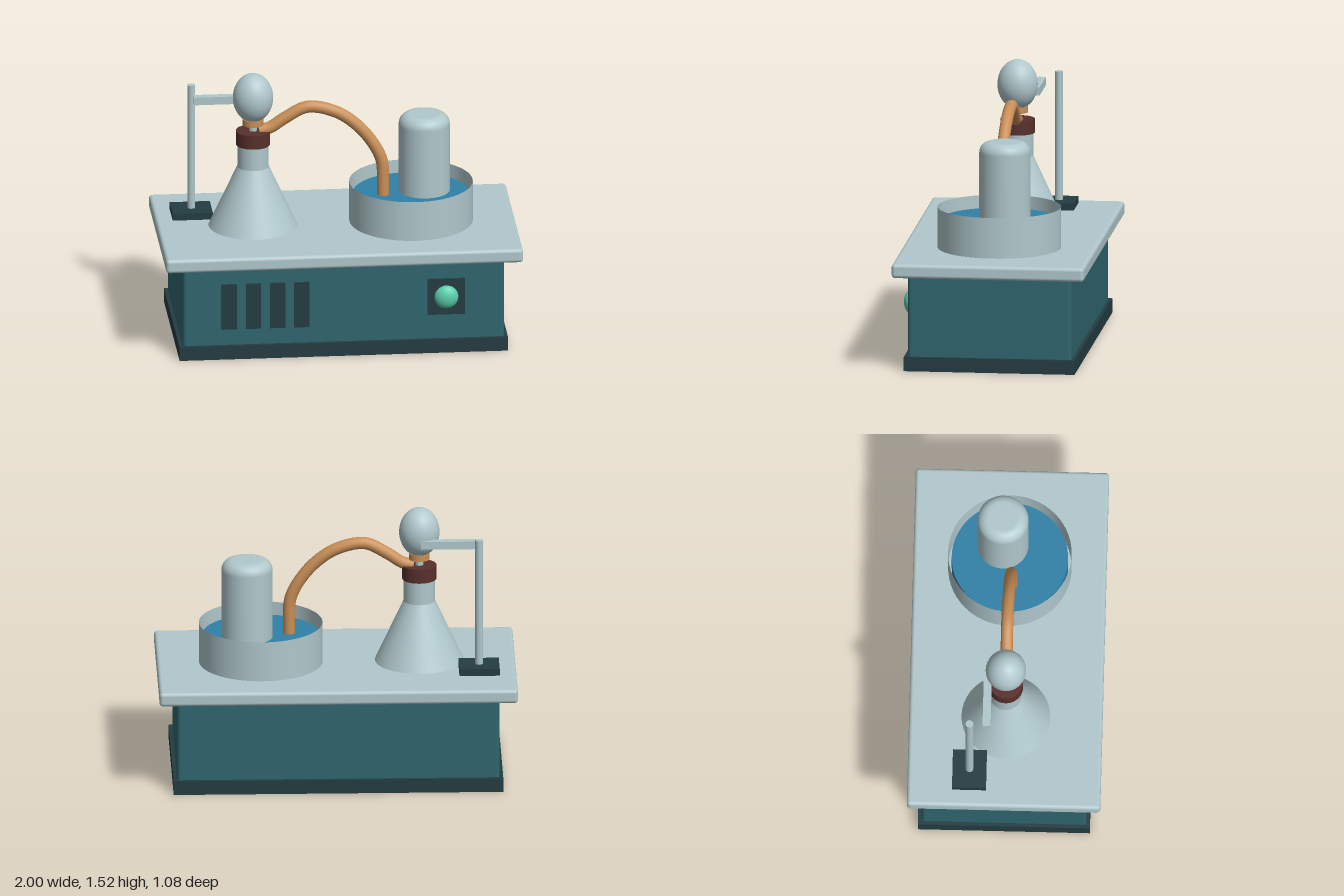
import * as THREE from 'three';
import { RoundedBoxGeometry } from 'three/addons/geometries/RoundedBoxGeometry.js';

const mat = (name, color, side = THREE.FrontSide) => {
  const m = new THREE.MeshStandardMaterial({ color, side });
  m.name = name;
  return m;
};

export function createModel() {
  const root = new THREE.Group();
  root.name = 'distillationBench';

  const pale = mat('paleGlass', 0xb0c8cc, THREE.DoubleSide);
  const teal = mat('tealCabinet', 0x2f666f);
  const dark = mat('darkSlate', 0x243c42);
  const blue = mat('waterBlue', 0x2f80a8);
  const copper = mat('copper', 0xc98f57);
  const brown = mat('brownStopper', 0x57302c);
  const green = mat('greenLamp', 0x58d0ac);

  const add = (name, geometry, material, x, y, z, parent = root) => {
    const mesh = new THREE.Mesh(geometry, material);
    mesh.name = name;
    mesh.position.set(x, y, z);
    parent.add(mesh);
    return mesh;
  };
  const box = (name, m, w, h, d, x, y, z) => add(name, new THREE.BoxGeometry(w, h, d), m, x, y, z);
  // Cylinder or cone standing between two heights
  const post = (name, m, rTop, rBottom, y0, y1, x, z, sides = 40, open = false) =>
    add(name, new THREE.CylinderGeometry(rTop, rBottom, y1 - y0, sides, 1, open), m, x, (y0 + y1) / 2, z);

  // Cabinet
  box('plinth', dark, 1.84, 0.08, 0.96, 0, 0.04, 0);
  add('cabinet', new RoundedBoxGeometry(1.8, 0.5, 0.92, 3, 0.02), teal, 0, 0.31, 0);
  add('worktop', new RoundedBoxGeometry(2, 0.08, 1.08, 3, 0.02), pale, 0, 0.58, 0);

  // Front vents, switch plate and lamp
  for (let i = 0; i < 4; i++) {
    box('vent', dark, 0.085, 0.265, 0.03, -0.64 + i * 0.135, 0.308, 0.46);
  }
  box('lampPlate', dark, 0.21, 0.21, 0.03, 0.575, 0.33, 0.46);
  add('lamp', new THREE.SphereGeometry(0.067, 28, 18), green, 0.575, 0.33, 0.475).scale.z = 0.63;

  // Flask with stopper and bulb
  const fx = -0.465;
  post('flaskBody', pale, 0.088, 0.248, 0.62, 0.97, fx, 0);
  post('flaskNeck', pale, 0.088, 0.088, 0.96, 1.11, fx, 0);
  post('stopper', brown, 0.096, 0.096, 1.1, 1.18, fx, 0);
  post('bulbStem', pale, 0.022, 0.022, 1.17, 1.26, fx, 0, 16);
  post('bulbCollar', copper, 0.058, 0.058, 1.215, 1.25, fx, 0, 24);
  add('bulb', new THREE.SphereGeometry(0.113, 36, 24), pale, fx, 1.375, 0).scale.y = 1.24;

  // Stand and clamp
  box('standFoot', dark, 0.225, 0.04, 0.19, -0.793, 0.64, -0.195);
  post('standPole', pale, 0.022, 0.022, 0.65, 1.39, -0.793, -0.195, 12);
  box('clampArm', pale, 0.32, 0.045, 0.045, -0.63, 1.333, -0.1);

  // Basin with water and bell jar
  post('basinWall', pale, 0.345, 0.345, 0.62, 0.85, 0.42, 0, 56, true);
  post('water', blue, 0.325, 0.325, 0.63, 0.78, 0.42, 0, 56);
  const jar = [new THREE.Vector2(0.143, 0.64), new THREE.Vector2(0.143, 0.9)];
  for (let i = 0; i <= 8; i++) {
    const a = (i / 8) * Math.PI / 2;
    jar.push(new THREE.Vector2(0.083 + 0.06 * Math.cos(a), 1.175 + 0.06 * Math.sin(a)));
  }
  jar.push(new THREE.Vector2(0, 1.235));
  add('bellJar', new THREE.LatheGeometry(jar, 40), pale, 0.498, 0, -0.04);

  // Delivery tube from the stopper into the water
  const path = new THREE.CatmullRomCurve3([
    [-0.43, 1.18, 0], [-0.37, 1.195, 0], [-0.285, 1.25, 0], [-0.16, 1.31, 0],
    [0, 1.276, 0.003], [0.12, 1.192, 0.007], [0.21, 1.08, 0.01],
    [0.255, 0.98, 0.012], [0.262, 0.86, 0.012], [0.262, 0.74, 0.012],
  ].map(p => new THREE.Vector3(...p)));
  add('deliveryTube', new THREE.TubeGeometry(path, 80, 0.034, 16), copper, 0, 0, 0);

  return root;
}
